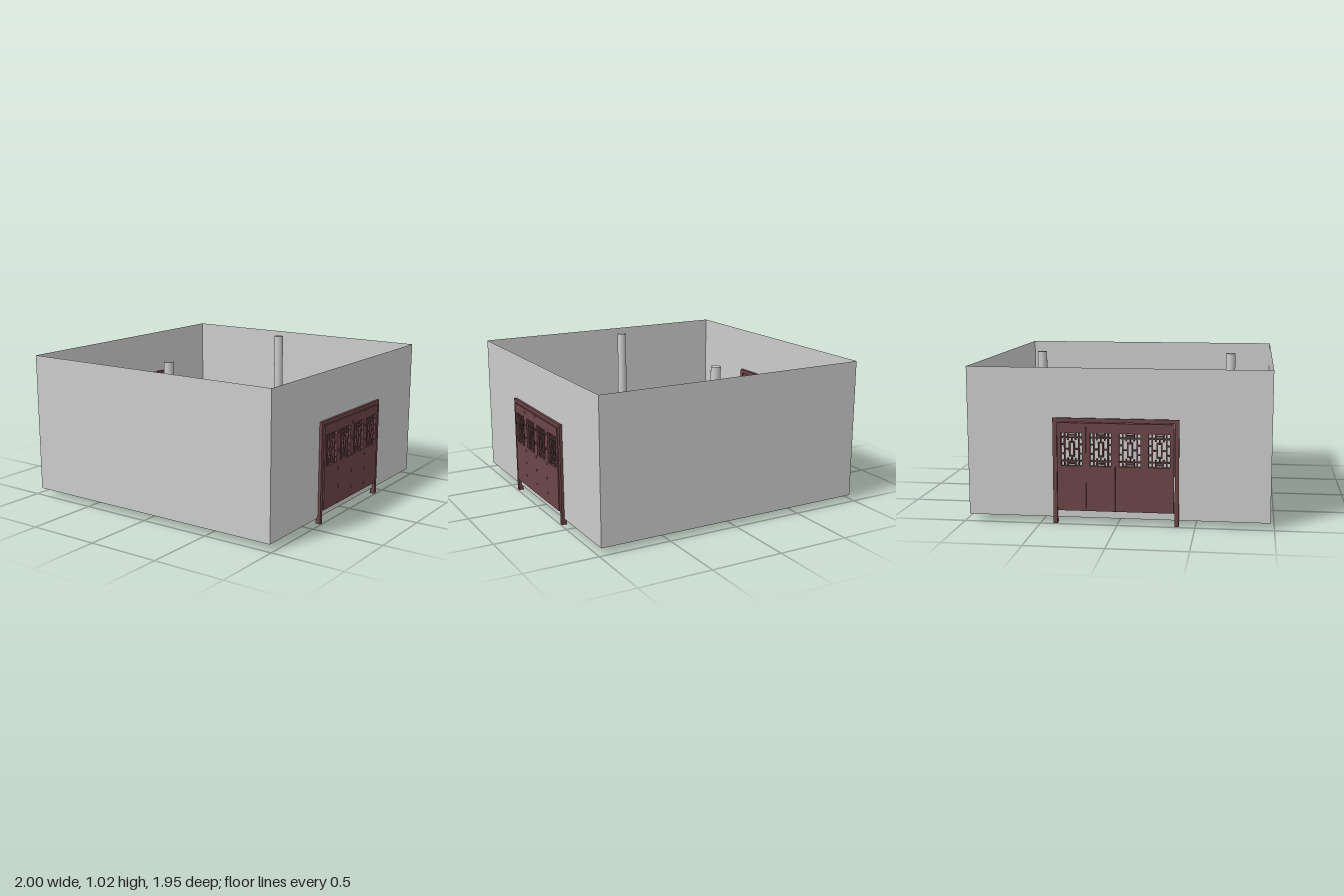
import * as THREE from 'three';

const grey = new THREE.MeshStandardMaterial({ color: 0xcccccc, side: THREE.DoubleSide });
const wood = new THREE.MeshStandardMaterial({ color: 0x6b4548 });
const FLOOR = 0.04, TOP = 1.01, HALF = 0.975;

function add(parent, name, geometry, material, x = 0, y = 0, z = 0) {
  const mesh = new THREE.Mesh(geometry, material);
  mesh.name = name;
  mesh.position.set(x, y, z);
  parent.add(mesh);
  return mesh;
}

function box(parent, name, w, h, d, x, y, z, material = grey) {
  return add(parent, name, new THREE.BoxGeometry(w, h, d), material, x, y, z);
}

// Open room: floor and four thin walls
function createRoom() {
  const room = new THREE.Group();
  room.name = 'room';
  const h = TOP - FLOOR, mid = (TOP + FLOOR) / 2;
  add(room, 'floor', new THREE.PlaneGeometry(2 * HALF, 2 * HALF), grey, 0, FLOOR, 0).rotation.x = -Math.PI / 2;
  for (let i = 0; i < 4; i++) {
    const a = i * Math.PI / 2;
    add(room, 'wall', new THREE.PlaneGeometry(2 * HALF, h), grey,
      Math.sin(a) * HALF, mid, Math.cos(a) * HALF).rotation.y = a;
  }
  return room;
}

// One door leaf: slab with a window opening and lattice, in its own XY plane
function createLeaf(depth) {
  const leaf = new THREE.Group();
  leaf.name = 'doorLeaf';
  const w = 0.186, y0 = 0.09, y1 = 0.662, wy = 0.49, hw = 0.068, hh = 0.107;
  const shape = new THREE.Shape();
  shape.moveTo(-w / 2, y0).lineTo(w / 2, y0).lineTo(w / 2, y1).lineTo(-w / 2, y1).closePath();
  const hole = new THREE.Path();
  hole.moveTo(-hw, wy - hh).lineTo(-hw, wy + hh).lineTo(hw, wy + hh).lineTo(hw, wy - hh).closePath();
  shape.holes.push(hole);
  const slab = new THREE.ExtrudeGeometry(shape, { depth, bevelEnabled: false });
  slab.translate(0, 0, -depth / 2);
  add(leaf, 'leafPanel', slab, wood);

  const t = 0.008, d = depth * 0.7;
  const bar = (bw, bh, x, y) => box(leaf, 'latticeBar', bw, bh, d, x, wy + y, 0, wood);
  // Small central frame, middle ring and bars mirrored on both axes
  for (const s of [-1, 1]) {
    bar(t, 0.09, s * 0.014, 0);
    bar(0.036, t, 0, s * 0.045);
    bar(t, 2 * hh, s * 0.046, 0);
    bar(2 * hw, t, 0, s * 0.076);
    bar(0.024, t, s * 0.03, 0);
    bar(0.02, t, s * 0.058, s * 0.03);
    bar(0.02, t, s * 0.058, -s * 0.03);
    bar(t, 0.03, 0, s * 0.062);
    bar(0.05, t, 0, s * 0.092);
    for (const q of [-1, 1]) bar(t, 0.048, s * 0.025, q * 0.083);
  }
  return leaf;
}

// Door: posts, lintel and four leaves
function createDoor(frameX, leafX, depth) {
  const door = new THREE.Group();
  door.name = 'door';
  const zc = -0.01;
  for (const s of [-1, 1]) {
    box(door, 'doorPost', 0.035, 0.69, 0.026, frameX, 0.345, zc + s * 0.392, wood);
  }
  box(door, 'doorLintel', 0.035, 0.025, 0.81, frameX, 0.6775, zc, wood);
  for (let i = 0; i < 4; i++) {
    const leaf = createLeaf(depth);
    leaf.position.set(leafX, 0, zc + (i - 1.5) * 0.1875);
    leaf.rotation.y = Math.PI / 2;
    door.add(leaf);
  }
  return door;
}

// Railing post with foot and small cap; long side runs along the rail
function addPost(parent, x, z, alongX) {
  const post = new THREE.Group();
  post.name = 'railPost';
  box(post, 'postShaft', 0.048, 0.16, 0.028, 0, 0.12, 0);
  box(post, 'postNeck', 0.026, 0.012, 0.018, 0, 0.205, 0);
  box(post, 'postCap', 0.034, 0.03, 0.022, 0, 0.225, 0);
  add(post, 'postFoot', new THREE.CylinderGeometry(0.024, 0.024, 0.02, 16), grey, 0, 0.045, 0).scale.z = 0.6;
  post.position.set(x, 0, z);
  if (!alongX) post.rotation.y = Math.PI / 2;
  parent.add(post);
}

function createRailing() {
  const railing = new THREE.Group();
  railing.name = 'railing';
  const xl = -0.232, xr = 0.587, zb = -0.56, zf = 0.567;
  const xm = (xl + xr) / 2, zm = (zb + zf) / 2;
  for (const x of [xl, xr]) {
    box(railing, 'sideRail', 0.027, 0.02, zf - zb + 0.027, x, 0.165, zm);
    for (const z of [-0.555, -0.275, 0.01, 0.29]) addPost(railing, x, z, false);
    addPost(railing, x, zf, true);
  }
  for (const z of [zb, zf]) box(railing, 'endRail', xr - xl, 0.02, 0.027, xm, 0.165, z);
  for (const x of [0.035, 0.32]) addPost(railing, x, zb, true);
  for (const x of [0.057, 0.338]) addPost(railing, x, zf, true);
  return railing;
}

export function createModel() {
  const model = new THREE.Group();
  model.name = 'courtyardRoom';
  model.add(createRoom());
  model.add(createDoor(-0.969, -0.978, 0.044));
  model.add(createDoor(0.976, 0.976, 0.048));
  model.add(createRailing());

  // Two round columns
  for (const z of [-0.688, 0.685]) {
    add(model, 'column', new THREE.CylinderGeometry(0.033, 0.033, 0.98, 32), grey, -0.02, 0.53, z);
  }

  // Low platform inside the railing and a bench beside it
  box(model, 'platform', 0.39, 0.08, 0.86, 0.228, FLOOR + 0.04, -0.005);
  box(model, 'bench', 0.195, 0.12, 0.585, -0.406, FLOOR + 0.06, -0.003);
  return model;
}
